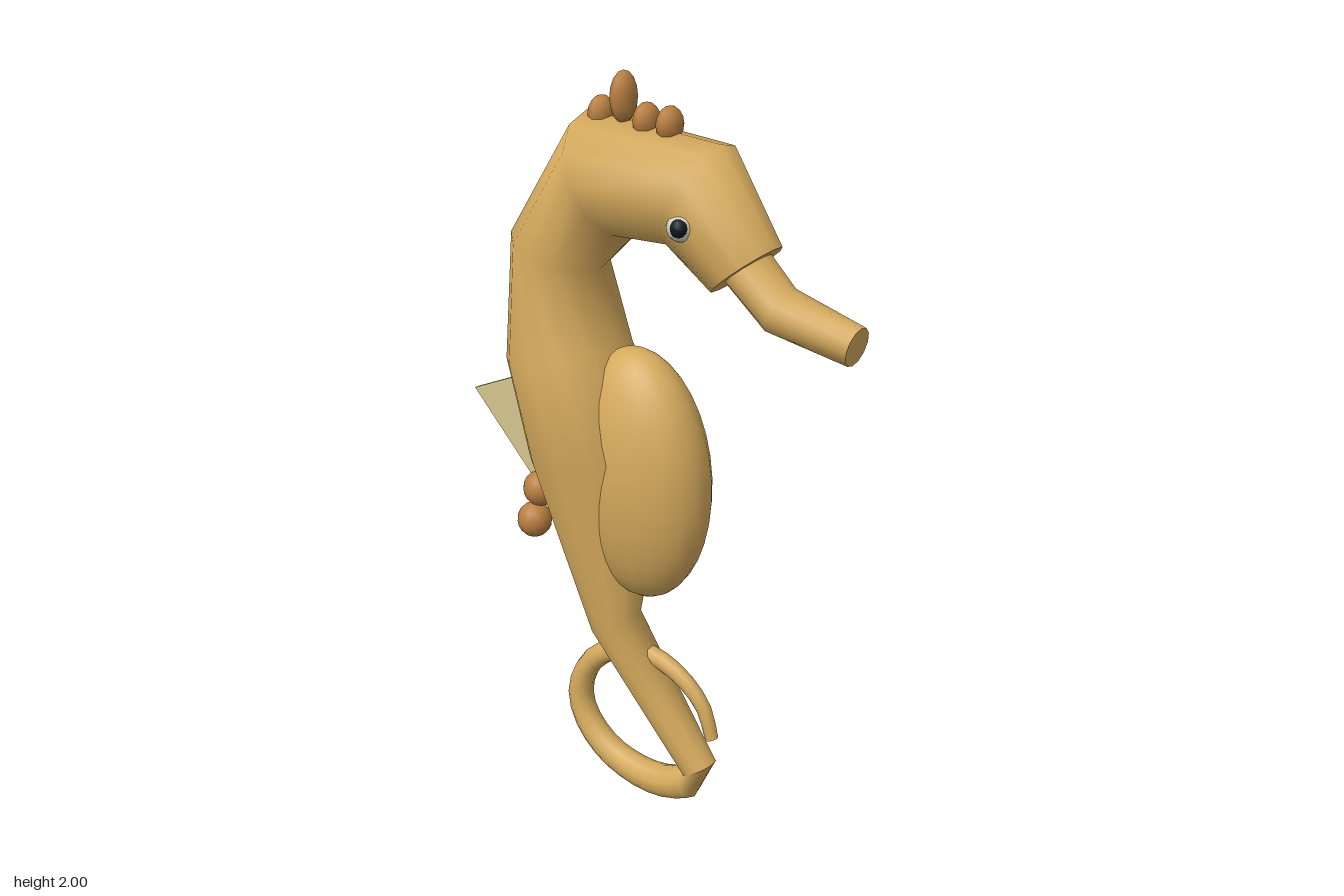
import * as THREE from 'three';

const mat = (name, color, extra = {}) => new THREE.MeshStandardMaterial({ name, color, ...extra });

// Smooth skin through rings [ax, ay, bx, by, halfDepth]; a lies left of travel, b right. Ends get flat caps.
function loft(rings, sides) {
  const pos = [], idx = [];
  const addRing = ([ax, ay, bx, by, rz]) => {
    for (let j = 0; j < sides; j++) {
      const t = (j / sides) * Math.PI * 2, c = Math.cos(t) / 2;
      pos.push((ax + bx) / 2 + (ax - bx) * c, (ay + by) / 2 + (ay - by) * c, rz * Math.sin(t));
    }
  };
  rings.forEach(addRing);
  for (let i = 0; i < rings.length - 1; i++) {
    for (let j = 0; j < sides; j++) {
      const k = (j + 1) % sides, a = i * sides, b = a + sides;
      idx.push(a + j, a + k, b + j, a + k, b + k, b + j);
    }
  }
  for (const start of [true, false]) {
    const base = pos.length / 3;
    addRing(start ? rings[0] : rings[rings.length - 1]);
    for (let j = 1; j < sides - 1; j++) {
      if (start) idx.push(base, base + j + 1, base + j);
      else idx.push(base, base + j, base + j + 1);
    }
  }
  const g = new THREE.BufferGeometry();
  g.setAttribute('position', new THREE.Float32BufferAttribute(pos, 3));
  g.setIndex(idx);
  g.computeVertexNormals();
  return g;
}

export function createModel() {
  const model = new THREE.Group();
  model.name = 'seahorse';
  const skin = mat('golden skin', 0xd4a95c);
  const bump = mat('brown bump', 0xb87f40);
  const finMat = mat('pale fin', 0xd6c48e, { side: THREE.DoubleSide });
  const eyeMat = mat('eye white', 0xd8d2bc);
  const pupilMat = mat('pupil', 0x101820);

  const add = (name, geometry, material) => {
    const mesh = new THREE.Mesh(geometry, material);
    mesh.name = name;
    model.add(mesh);
    return mesh;
  };
  const ball = (name, material, [x, y, z], [rx, ry, rz], w = 14, h = 10) => {
    const mesh = add(name, new THREE.SphereGeometry(1, w, h), material);
    mesh.position.set(x, y, z);
    mesh.scale.set(rx, ry, rz);
    return mesh;
  };

  // Head, neck and trunk, from the face down to the tail bend
  const bend = [0.197, 0.165, 0.11, 0.115, 0.05];
  add('body', loft([
    [0.195, 1.505, 0.35, 1.635, 0.1],
    [0.08, 1.6, 0.195, 1.86, 0.142],
    [-0.06, 1.595, -0.2, 1.89, 0.163],
    [-0.165, 1.49, -0.415, 1.57, 0.131],
    [-0.105, 1.29, -0.435, 1.22, 0.166],
    [0.02, 1.04, -0.358, 0.965, 0.19],
    [-0.06, 0.54, -0.19, 0.47, 0.075],
    bend,
  ], 12), skin);

  // Curled, tapering tail
  const curve = new THREE.CatmullRomCurve3([
    [0.12, 0.085], [0.06, 0.058], [-0.03, 0.05], [-0.15, 0.085], [-0.23, 0.165], [-0.25, 0.25],
    [-0.205, 0.355], [-0.11, 0.42], [0, 0.435], [0.1, 0.395], [0.165, 0.33], [0.193, 0.245],
  ].map(([x, y]) => new THREE.Vector3(x, y, 0)));
  const tail = [bend];
  const steps = 26;
  for (let i = 0; i <= steps; i++) {
    const u = i / steps, p = curve.getPointAt(u), t = curve.getTangentAt(u), r = 0.048 - 0.03 * u;
    tail.push([p.x - t.y * r, p.y + t.x * r, p.x + t.y * r, p.y - t.x * r, r]);
  }
  add('tail', loft(tail, 10), skin);

  // Snout
  add('snout', loft([
    [0.29, 1.645, 0.2, 1.565, 0.078],
    [0.395, 1.545, 0.345, 1.435, 0.065],
    [0.59, 1.49, 0.57, 1.393, 0.05],
  ], 12), skin);

  // Belly pouch
  ball('belly', skin, [-0.042, 0.96, 0], [0.206, 0.345, 0.14], 24, 18).rotation.z = 0.06;

  // Crown knobs
  [[-0.155, 1.887, 0.045], [-0.088, 1.935, 0.065], [-0.02, 1.887, 0.045], [0.048, 1.887, 0.045]]
    .forEach(([x, y, ry]) => ball('crownKnob', bump, [x, y, 0], [0.031, ry, 0.04], 8, 8));

  // Bumps down the back
  [[-0.335, 0.93], [-0.378, 0.83], [-0.402, 0.73]]
    .forEach(([x, y]) => ball('backBump', bump, [x, y, 0], [0.048, 0.05, 0.048]));

  // Back fin
  const finShape = new THREE.Shape([[-0.595, 1.075], [-0.31, 0.765], [-0.28, 1.215]]
    .map(([x, y]) => new THREE.Vector2(x, y)));
  const fin = new THREE.ExtrudeGeometry(finShape, { depth: 0.014, bevelEnabled: false });
  add('backFin', fin.translate(0, 0, -0.007), finMat);

  // Eyes
  for (const side of [1, -1]) {
    ball('eye', eyeMat, [0.162, 1.683, side * 0.115], [0.035, 0.035, 0.035]);
    ball('pupil', pupilMat, [0.168, 1.685, side * 0.13], [0.025, 0.025, 0.024], 10, 8);
  }
  return model;
}
